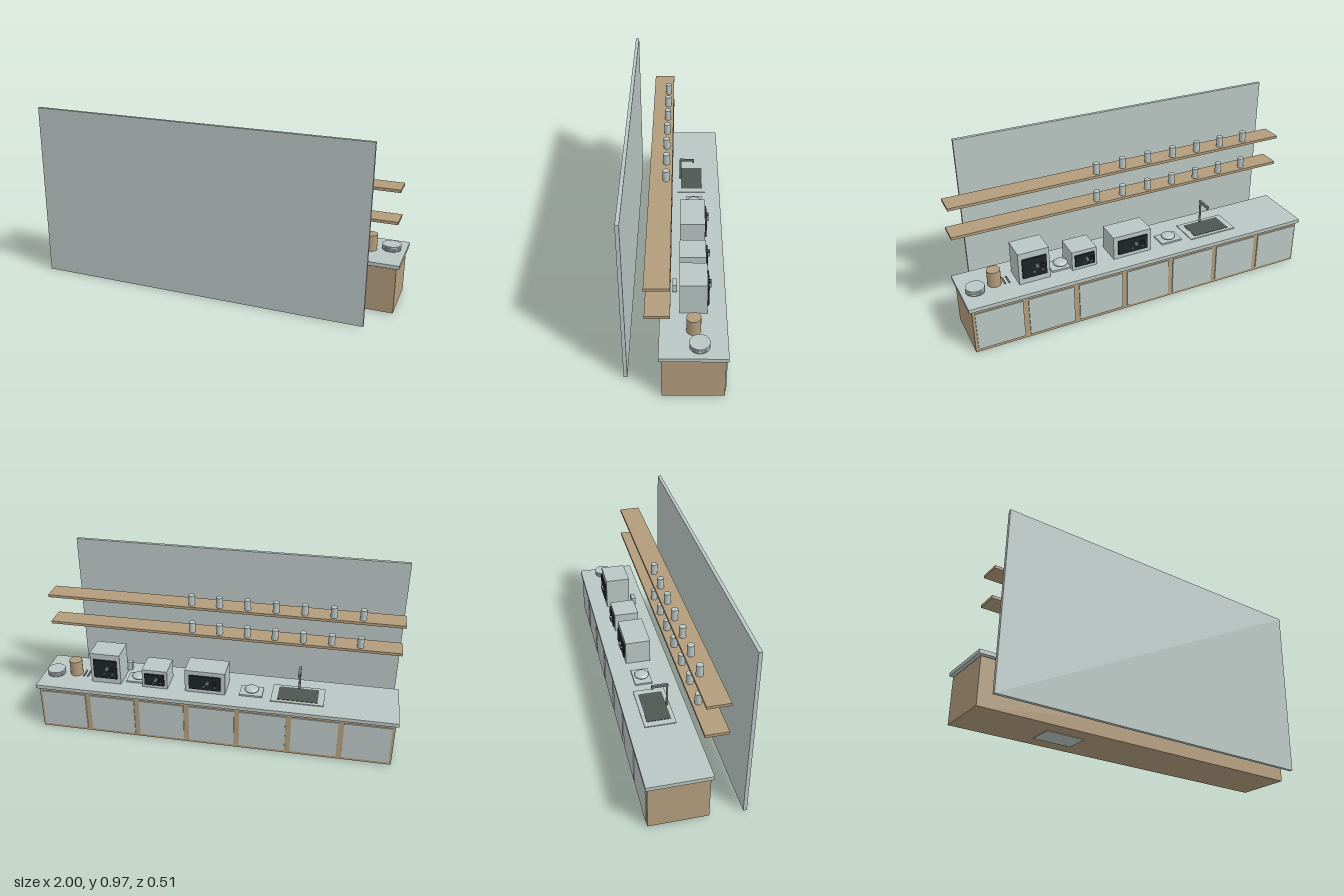
import * as THREE from 'three';

export function createModel() {
  const model = new THREE.Group();
  const material = (name, color) => {
    const m = new THREE.MeshStandardMaterial({ color });
    m.name = name;
    return m;
  };
  const pale = material('pale grey green', 0xb9c6c3);
  const wood = material('wood', 0xb29c7c);
  const basinGrey = material('dark basin grey', 0x4d5651);
  const black = material('black glass', 0x1c2625);
  const steel = material('steel', 0x77807d);

  const add = (name, geometry, mat, x, y, z) => {
    const mesh = new THREE.Mesh(geometry, mat);
    mesh.name = name;
    mesh.position.set(x, y, z);
    model.add(mesh);
    return mesh;
  };
  // Box given by its limits along each axis
  const box = (name, mat, x0, x1, y0, y1, z0, z1) =>
    add(name, new THREE.BoxGeometry(x1 - x0, y1 - y0, z1 - z0), mat,
      (x0 + x1) / 2, (y0 + y1) / 2, (z0 + z1) / 2);
  // Upright cylinder standing at y0
  const can = (name, mat, x, y0, z, r, h) =>
    add(name, new THREE.CylinderGeometry(r, r, h, 32), mat, x, y0 + h / 2, z);

  // Wall panel
  box('wall', pale, -0.99, 0.87, 0, 0.972, 0.238, 0.257);

  // Cabinet and worktop
  box('cabinet', wood, -0.985, 0.985, 0.004, 0.256, -0.245, 0.065);
  box('worktopSupport', wood, -0.95, 0.95, 0.25, 0.263, -0.21, 0.03);
  box('worktop', pale, -1, 1, 0.262, 0.283, -0.257, 0.077);
  const pitch = 1.97 / 7;
  for (let i = 0; i < 7; i++) {
    const x = -0.985 + (i + 0.5) * pitch;
    box('cabinetDoor', pale, x - 0.126, x + 0.126, 0.022, 0.244, -0.251, -0.244);
  }

  // Shelves with cups
  for (const y of [0.53, 0.698]) {
    box('shelf', wood, -0.99, 0.985, y, y + 0.015, 0.02, 0.138);
    for (let i = 0; i < 7; i++) can('shelfCup', pale, -0.765 + i * 0.155, y + 0.015, 0.052, 0.018, 0.059);
  }

  // Sink with a deep basin
  box('sinkRim', pale, -0.6, -0.312, 0.282, 0.288, -0.172, -0.006);
  box('sinkBasin', pale, -0.566, -0.346, 0.001, 0.27, -0.16, -0.02);
  box('sinkOpening', basinGrey, -0.566, -0.346, 0.287, 0.29, -0.153, -0.026);

  // Tap
  can('tapStem', steel, -0.456, 0.283, -0.022, 0.006, 0.142);
  box('tapSpout', steel, -0.463, -0.449, 0.415, 0.427, -0.105, -0.018);
  can('tapNozzle', steel, -0.456, 0.403, -0.1, 0.005, 0.014);

  // Countertop ovens: x limits and height of each
  for (const [x0, x1, top] of [[-0.06, 0.165, 0.418], [0.265, 0.408, 0.393], [0.532, 0.702, 0.466]]) {
    const w = x1 - x0, h = top - 0.283;
    box('ovenBody', pale, x0, x1, 0.283, top, -0.16, -0.021);
    box('ovenPanel', black, x0 + w * 0.11, x1 - w * 0.11, 0.283 + h * 0.19, top - h * 0.19, -0.169, -0.16);
    for (const u of [0.25, 0.43]) {
      const knob = can('ovenKnob', u < 0.3 ? black : steel, x0 + w * u, 0, -0.175, 0.011, 0.013);
      knob.rotation.x = Math.PI / 2;
      knob.position.y = 0.283 + h * 0.54;
    }
    for (const u of [0.22, 0.5]) {
      box('ovenButton', steel, x0 + w * u, x0 + w * u + 0.01, 0.283 + h * 0.33, 0.283 + h * 0.39, -0.172, -0.168);
    }
  }

  // Scales with a rounded dish
  for (const [x, z] of [[-0.2, -0.102], [0.447, -0.085]]) {
    box('scaleBase', pale, x - 0.063, x + 0.063, 0.283, 0.292, z - 0.047, z + 0.047);
    const dish = add('scaleDish', new THREE.SphereGeometry(0.039, 32, 16), pale, x, 0.304, z);
    dish.scale.y = 0.38;
  }

  // Small container by the tall oven
  box('smallContainer', pale, 0.508, 0.56, 0.29, 0.337, -0.009, 0.015);
  box('containerFoot', pale, 0.515, 0.553, 0.283, 0.291, -0.006, 0.012);

  // Flat utensils, wooden canister and plate stack
  for (const x of [0.743, 0.766]) box('utensil', steel, x - 0.004, x + 0.004, 0.283, 0.288, -0.12, -0.058);
  can('canister', wood, 0.816, 0.283, -0.091, 0.036, 0.088);
  can('plateFoot', pale, 0.925, 0.283, -0.119, 0.035, 0.01);
  for (let i = 0; i < 4; i++) can('plate', pale, 0.925, 0.29 + i * 0.0075, -0.119, 0.05, 0.006);
  can('plateCore', pale, 0.925, 0.29, -0.119, 0.046, 0.026);

  return model;
}
